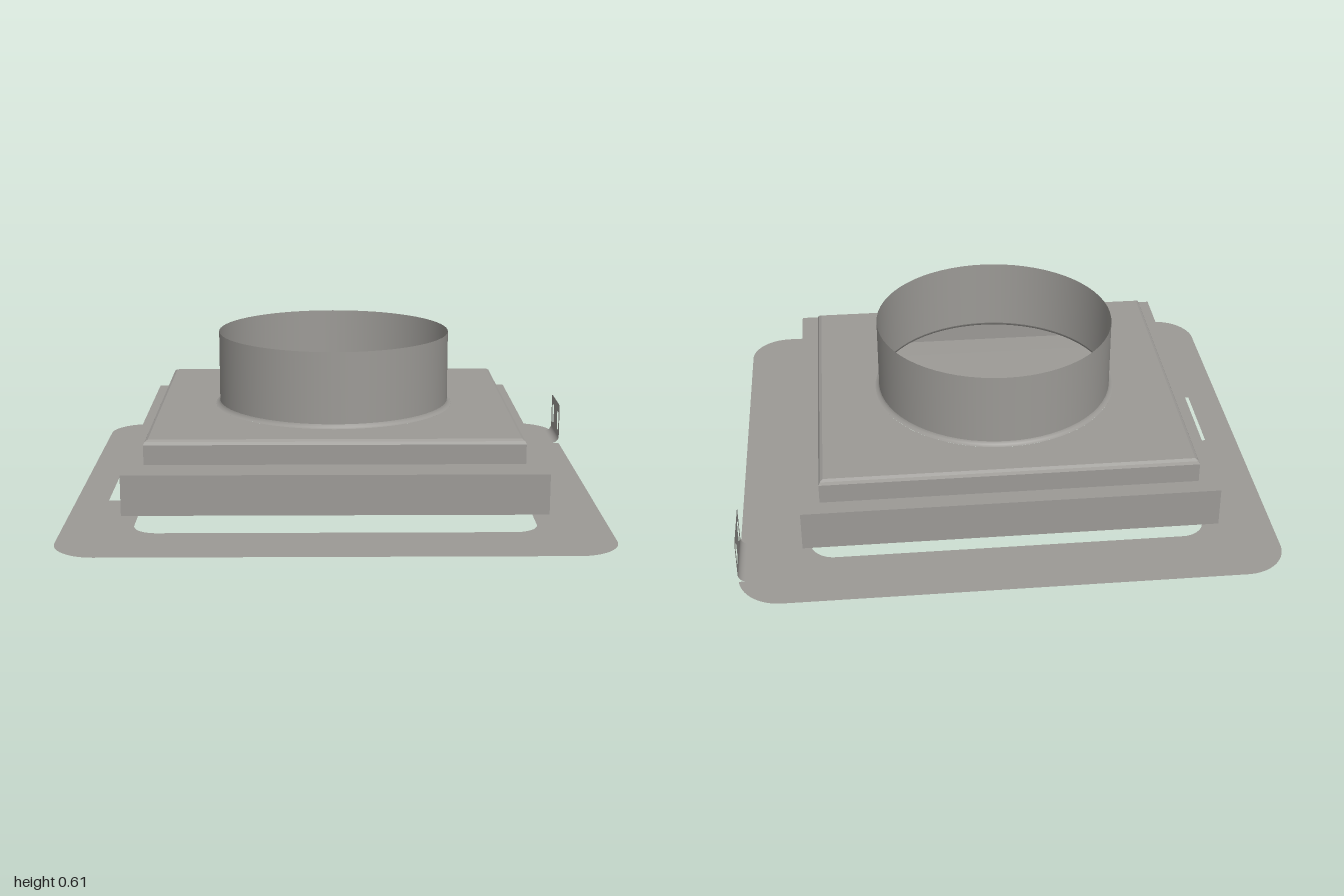
import * as THREE from 'three';

const metal = new THREE.MeshStandardMaterial({ color: 0x9c9a96, side: THREE.DoubleSide });
metal.name = 'galvanised grey';

function part(group, name, geometry, x = 0, y = 0, z = 0) {
  const mesh = new THREE.Mesh(geometry, metal);
  mesh.name = name;
  mesh.position.set(x, y, z);
  group.add(mesh);
  return mesh;
}

// Adds a rounded rectangle outline to a shape or path
function roundedRect(path, x0, y0, x1, y1, r) {
  path.moveTo(x0 + r, y0);
  path.absarc(x1 - r, y0 + r, r, -Math.PI / 2, 0);
  path.absarc(x1 - r, y1 - r, r, 0, Math.PI / 2);
  path.absarc(x0 + r, y1 - r, r, Math.PI / 2, Math.PI);
  path.absarc(x0 + r, y0 + r, r, Math.PI, Math.PI * 1.5);
  path.closePath();
  return path;
}

// Sheet-metal skin through rectangular rings [x0, x1, z0, z1, y]
function rectLoft(rings) {
  const pos = [];
  const corners = ([x0, x1, z0, z1, y]) => [[x0, y, z1], [x1, y, z1], [x1, y, z0], [x0, y, z0]];
  for (let i = 0; i < rings.length - 1; i++) {
    const a = corners(rings[i]), b = corners(rings[i + 1]);
    for (let k = 0; k < 4; k++) {
      const n = (k + 1) % 4;
      pos.push(...a[k], ...a[n], ...b[n], ...a[k], ...b[n], ...b[k]);
    }
  }
  const g = new THREE.BufferGeometry();
  g.setAttribute('position', new THREE.Float32BufferAttribute(pos, 3));
  g.computeVertexNormals();
  return g;
}

export function createModel() {
  const model = new THREE.Group();
  model.name = 'ductAdapter';

  // Flat flange with rounded corners, a cut for the bracket and a notched opening
  const R = 0.16, X = 1, Z = 0.948;
  const plate = new THREE.Shape();
  plate.moveTo(-X + R, -Z);
  plate.absarc(X - R, -Z + R, R, -Math.PI / 2, -0.14);
  plate.lineTo(0.97, -0.81);
  plate.lineTo(0.97, -0.585);
  plate.lineTo(X, -0.585);
  plate.absarc(X - R, Z - R, R, 0, Math.PI / 2);
  plate.absarc(-X + R, Z - R, R, Math.PI / 2, Math.PI);
  plate.absarc(-X + R, -Z + R, R, Math.PI, Math.PI * 1.5);
  const hx = 0.74, z0 = -0.7, z1 = 0.68, r = 0.09;
  const opening = new THREE.Path();
  opening.moveTo(-hx + r, z0);
  opening.absarc(hx - r, z0 + r, r, -Math.PI / 2, 0);
  opening.absarc(hx - r, z1 - r, r, 0, Math.PI / 2);
  opening.absarc(-hx + r, z1 - r, r, Math.PI / 2, Math.PI);
  opening.lineTo(-hx, 0.27);
  opening.lineTo(-0.875, 0.27);
  opening.lineTo(-0.875, -0.065);
  opening.lineTo(-hx, -0.065);
  opening.absarc(-hx + r, z0 + r, r, Math.PI, Math.PI * 1.5);
  plate.holes.push(opening);
  part(model, 'flange', new THREE.ShapeGeometry(plate, 12).rotateX(Math.PI / 2));

  // Bent-up bracket with two slots
  const bracket = new THREE.Group();
  bracket.name = 'bracket';
  model.add(bracket);
  part(bracket, 'bracketBend', new THREE.CylinderGeometry(0.03, 0.03, 0.225, 8, 1, true, 0, Math.PI / 2)
    .rotateX(Math.PI / 2), 0.97, 0.03, -0.6975);
  const tab = new THREE.Shape();
  tab.moveTo(-0.81, 0.03);
  tab.lineTo(-0.585, 0.03);
  tab.absarc(-0.597, 0.158, 0.012, 0, Math.PI / 2);
  tab.absarc(-0.798, 0.158, 0.012, Math.PI / 2, Math.PI);
  for (const z of [-0.63, -0.765]) {
    tab.holes.push(roundedRect(new THREE.Path(), z - 0.02, 0.05, z + 0.02, 0.135, 0.0199));
  }
  part(bracket, 'bracketTab', new THREE.ShapeGeometry(tab, 8).rotateY(-Math.PI / 2), 1, 0, 0);

  // Lower frame: side walls and ledge
  const hood = [-0.7, 0.695, -0.672, 0.587];
  const frame = [-0.77, 0.765, -0.74, 0.725];
  part(model, 'frame', rectLoft([[...frame, 0.08], [...frame, 0.23], [...hood, 0.23]]));

  // Hood: walls with a softened upper edge
  const inset = (d, y) => [hood[0] + d, hood[1] - d, hood[2] + d, hood[3] - d, y];
  part(model, 'hoodWalls', rectLoft([inset(0, 0.23), inset(0, 0.304), inset(0.005, 0.315), inset(0.016, 0.322)]));

  // Hood top with the round duct opening
  const cx = -0.002, cz = -0.043;
  const [tx0, tx1, tz0, tz1] = inset(0.016, 0);
  const top = new THREE.Shape();
  top.moveTo(tx0, -tz1);
  top.lineTo(tx1, -tz1);
  top.lineTo(tx1, -tz0);
  top.lineTo(tx0, -tz0);
  top.closePath();
  top.holes.push(new THREE.Path().absarc(cx, -cz, 0.47, 0, Math.PI * 2, true));
  part(model, 'hoodTop', new THREE.ShapeGeometry(top, 64).rotateX(-Math.PI / 2), 0, 0.322, 0);

  // Round duct collar with a small flare at its foot
  const collar = [[0.47, 0.322], [0.459, 0.326], [0.455, 0.337], [0.455, 0.612]];
  part(model, 'collarFlare', new THREE.LatheGeometry(collar.slice(0, 3).map(p => new THREE.Vector2(...p)), 64), cx, 0, cz);
  part(model, 'collar', new THREE.LatheGeometry(collar.slice(2).map(p => new THREE.Vector2(...p)), 64), cx, 0, cz);

  // Damper flap across the front half, with a turned-down lip
  const flap = new THREE.Shape([
    [0.6, 0.084], [0.6, 0.077], [0.25, 0.066], [0.2, 0.058], [0.167, 0.045],
    [0.16, 0.052], [0.16, 0.066], [0.2, 0.073], [0.25, 0.074],
  ].map(p => new THREE.Vector2(...p)));
  part(model, 'damperFlap', new THREE.ExtrudeGeometry(flap, { depth: 1.38, bevelEnabled: false })
    .rotateY(-Math.PI / 2), 0.69, 0, 0);

  // Pivot pin and its small upright catch on the side
  part(model, 'pin', new THREE.CylinderGeometry(0.02, 0.02, 0.045, 20).rotateZ(Math.PI / 2), -0.79, 0.066, 0.105);
  part(model, 'pinCatch', new THREE.BoxGeometry(0.038, 0.045, 0.04), -0.793, 0.089, 0.105);

  return model;
}
